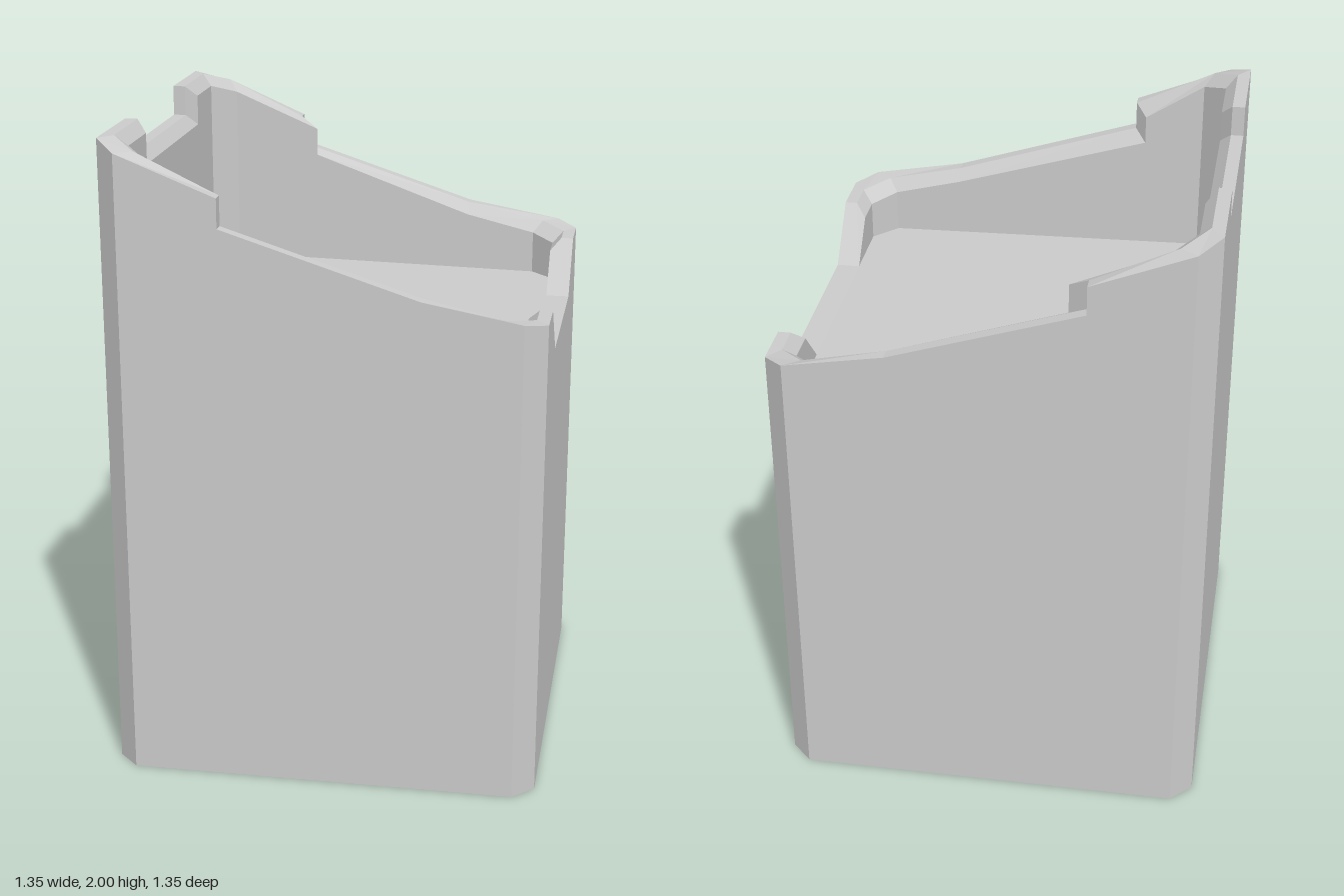
import * as THREE from 'three';

const TILT = -0.0227; // slight twist of the square plan
const FLOOR = 1.34;

// Plan rings: distance of each side from the centre, and half its length between the corner cuts
const OUTER = { dist: 0.662, half: 0.597 };
const RIM = { dist: 0.623, half: 0.546 };
const INNER = { dist: 0.589, half: 0.516 };

// Stations along each side: [position, top height, inner shift, inner drop].
// 'a' and 'b' are the ends of a side; two stations at one position make a step.
const SIDES = [
  [ // front
    ['a', 1.97], [-0.295, 1.85, -0.035], [-0.295, 1.76, -0.035], [0.3, 1.57], ['b', 1.515],
  ],
  [ // right, with the low sloped opening
    ['a', 1.5], [-0.445, 1.5, 0.035], [-0.295, FLOOR, 0, 0], [0.295, FLOOR, 0, 0], [0.445, 1.5, -0.035], ['b', 1.5],
  ],
  [ // back
    ['a', 1.515], [-0.29, 1.57], [0.295, 1.76, -0.06], [0.295, 1.85, -0.06], ['b', 1.97],
  ],
  [ // left, with the square notch
    ['a', 2], [-0.29, 2, -0.033], [-0.29, 1.905, -0.033], [0.29, 1.905, 0.033], [0.29, 2, 0.033], ['b', 2],
  ],
];

// Point on a plan ring of side k
function planPoint(k, s, ring, y, shift = 0) {
  const angle = k * Math.PI / 2 + TILT;
  const along = s === 'a' ? -ring.half : s === 'b' ? ring.half : s + shift;
  return new THREE.Vector3(
    Math.sin(angle) * ring.dist + Math.cos(angle) * along,
    y,
    Math.cos(angle) * ring.dist - Math.sin(angle) * along,
  );
}

// Cross-section of the wall at every station: base, outer top, rim edge, inner top, floor
function buildSections() {
  const sections = [];
  SIDES.forEach((side, k) => side.forEach(([s, top, shift = 0, drop = 0.036]) => {
    const floor = planPoint(k, s, INNER, 0, shift);
    floor.y = 1.3525 - 0.021 * floor.x;
    sections.push([
      planPoint(k, s, OUTER, 0),
      planPoint(k, s, OUTER, top),
      planPoint(k, s, RIM, top),
      planPoint(k, s, INNER, top - drop, shift),
      floor,
    ]);
  }));
  return sections;
}

function meshFrom(name, triangles, material) {
  const geometry = new THREE.BufferGeometry().setFromPoints(triangles);
  geometry.computeVertexNormals();
  const mesh = new THREE.Mesh(geometry, material);
  mesh.name = name;
  return mesh;
}

// Band of quads joining rows from..to of neighbouring sections
function band(sections, from, to) {
  const out = [];
  sections.forEach((p, i) => {
    const q = sections[(i + 1) % sections.length];
    for (let j = from; j < to; j++) {
      out.push(p[j], q[j], q[j + 1], p[j], q[j + 1], p[j + 1]);
    }
  });
  return out;
}

// Fan closing one row of the sections
function cap(sections, row, centreY, up) {
  const centre = new THREE.Vector3(0, centreY, 0);
  return sections.flatMap((p, i) => {
    const q = sections[(i + 1) % sections.length];
    return up ? [centre, p[row], q[row]] : [centre, q[row], p[row]];
  });
}

export function createModel() {
  const group = new THREE.Group();
  group.name = 'brokenTower';
  const material = new THREE.MeshStandardMaterial({ color: 0xcccccc, flatShading: true });
  const sections = buildSections();

  group.add(
    meshFrom('outerWall', band(sections, 0, 1), material),
    meshFrom('bevelledRim', band(sections, 1, 3), material),
    meshFrom('innerWall', band(sections, 3, 4), material),
    meshFrom('floor', cap(sections, 4, 1.3525, true), material),
    meshFrom('underside', cap(sections, 0, 0, false), material),
  );
  return group;
}
